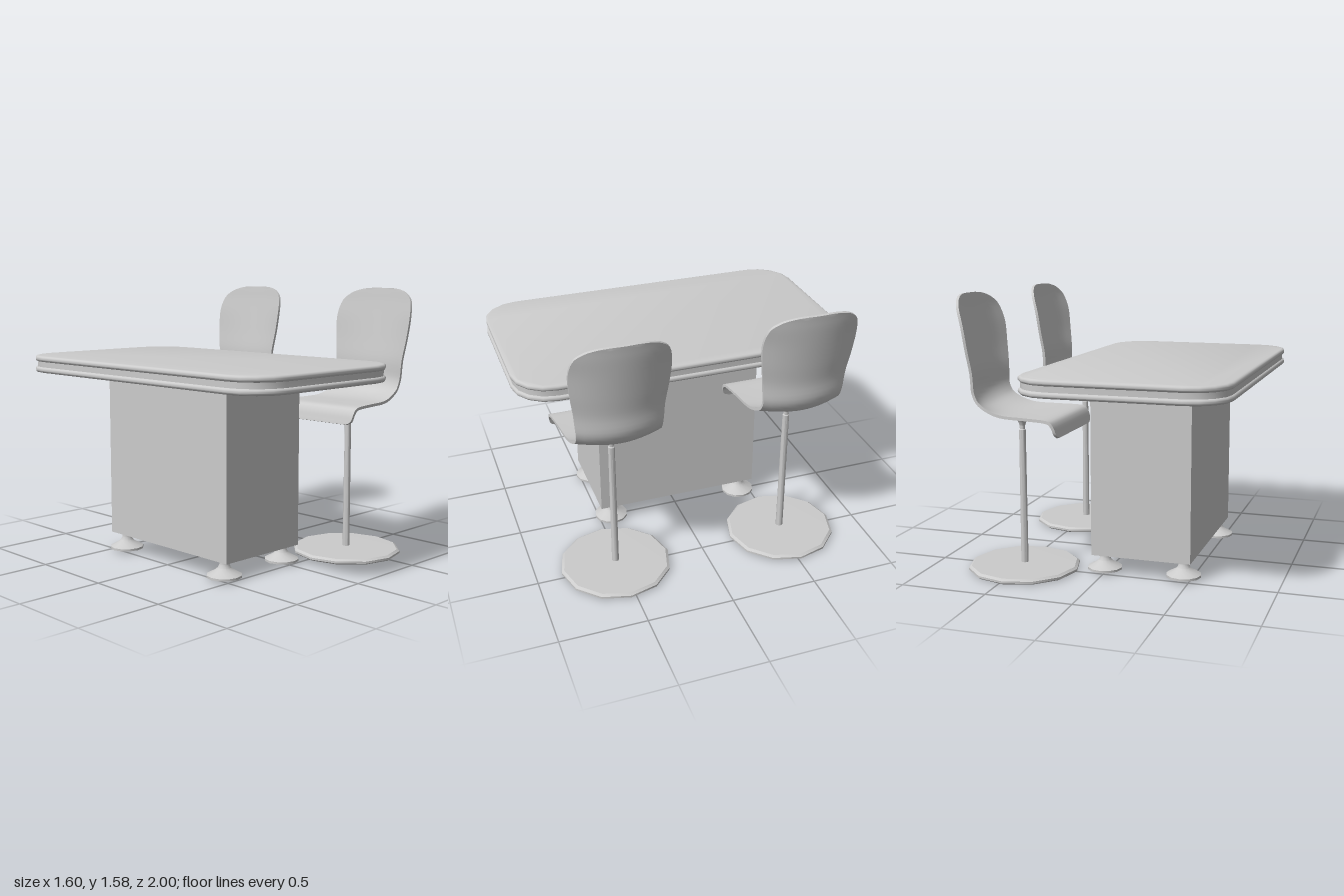
import * as THREE from 'three';
import { toCreasedNormals } from 'three/addons/utils/BufferGeometryUtils.js';

const material = new THREE.MeshStandardMaterial({ color: 0xcccccc });

function part(name, geometry, x = 0, y = 0, z = 0) {
  const mesh = new THREE.Mesh(geometry, material);
  mesh.name = name;
  mesh.position.set(x, y, z);
  return mesh;
}

// Turned part from [radius, height] pairs, bottom to top
function turned(points, sides) {
  const profile = points.map(([r, y]) => new THREE.Vector2(r, y));
  return toCreasedNormals(new THREE.LatheGeometry(profile, sides).toNonIndexed(), 0.6);
}

// Horizontal rounded slab with a soft edge, standing on y = 0
function slab(width, length, height, radius, bevel, bevelHeight) {
  const a = width / 2 - bevel, b = length / 2 - bevel, r = radius - bevel;
  const s = new THREE.Shape();
  s.absarc(a - r, b - r, r, 0, Math.PI / 2);
  s.absarc(-a + r, b - r, r, Math.PI / 2, Math.PI);
  s.absarc(-a + r, -b + r, r, Math.PI, Math.PI * 1.5);
  s.absarc(a - r, -b + r, r, Math.PI * 1.5, Math.PI * 2);
  s.closePath();
  const g = new THREE.ExtrudeGeometry(s, {
    depth: height - 2 * bevelHeight, curveSegments: 2, bevelEnabled: bevel > 0,
    bevelSize: bevel, bevelThickness: bevelHeight, bevelSegments: 4,
  });
  g.translate(0, 0, bevelHeight).rotateX(-Math.PI / 2);
  return toCreasedNormals(g, 0.7);
}

// Seat centre line from front lip to top of back: x, y, half width, edge curl
const STATIONS = [
  [0.165, 0.83, 0.235, 0], [0.17, 0.85, 0.268, 0], [0.185, 0.895, 0.278, 0],
  [0.22, 0.919, 0.277, 0], [0.35, 0.92, 0.262, 0.004], [0.5, 0.92, 0.25, 0.01],
  [0.605, 0.935, 0.24, 0.03], [0.68, 0.97, 0.236, 0.05], [0.722, 1.04, 0.237, 0.06],
  [0.727, 1.15, 0.245, 0.06], [0.745, 1.27, 0.262, 0.063], [0.765, 1.4, 0.272, 0.066],
  [0.78, 1.5, 0.252, 0.05], [0.786, 1.55, 0.2, 0.03], [0.789, 1.575, 0.13, 0.012],
  [0.79, 1.583, 0.06, 0.003],
];

// Bent shell swept through the stations with a closed, thin cross-section
function seatShell() {
  const curve = (pick) => new THREE.CatmullRomCurve3(
    STATIONS.map((s) => new THREE.Vector3(...pick(s))), false, 'catmullrom', 0.5);
  const line = curve((s) => [s[0], s[1], 0]);
  const size = curve((s) => [s[2], s[3], 0]);
  const rows = 60, n = 12, ring = 2 * (n + 1), half = 0.008;
  const pos = [], index = [];
  for (let i = 0; i <= rows; i++) {
    const t = i / rows;
    const p = line.getPoint(t), d = line.getTangent(t), w = size.getPoint(t);
    for (let k = 0; k < ring; k++) {
      const inner = k <= n;
      const u = inner ? 1 - (2 * k) / n : -1 + (2 * (k - n - 1)) / n;
      const lift = w.y * u * u + (inner ? half : -half);
      pos.push(p.x - d.y * lift, p.y + d.x * lift, w.x * u);
    }
  }
  for (let i = 0; i < rows; i++) {
    for (let k = 0; k < ring; k++) {
      const a = i * ring + k, d = i * ring + ((k + 1) % ring);
      index.push(a, a + ring, d + ring, a, d + ring, d);
    }
  }
  // End caps at the lip and at the top
  const e = rows * ring;
  for (let k = 0; k < n; k++) {
    const q = ring - 1 - k;
    index.push(k, k + 1, q - 1, k, q - 1, q);
    index.push(e + k, e + q - 1, e + k + 1, e + k, e + q, e + q - 1);
  }
  const g = new THREE.BufferGeometry();
  g.setAttribute('position', new THREE.Float32BufferAttribute(pos, 3));
  g.setIndex(index);
  return toCreasedNormals(g.toNonIndexed(), 0.8);
}

function createTable() {
  const table = new THREE.Group();
  table.name = 'table';
  const cx = -0.22;
  // Two soft-edged boards with a recessed band between them
  table.add(part('lowerTopBoard', slab(1.16, 2, 0.035, 0.22, 0.018, 0.016), cx, 1.08));
  table.add(part('topRecess', slab(1.136, 1.976, 0.036, 0.208, 0, 0), cx, 1.112));
  table.add(part('upperTopBoard', slab(1.16, 2, 0.035, 0.22, 0.018, 0.016), cx, 1.145));
  table.add(part('pedestal', new THREE.BoxGeometry(0.58, 0.975, 1), cx, 0.595, 0));
  const foot = turned([
    [0, 0.013], [0.1, 0.013], [0.1, 0.026], [0.055, 0.05], [0.037, 0.065],
    [0.028, 0.085], [0.028, 0.112], [0, 0.112],
  ], 12);
  for (const x of [-0.455, 0.012]) {
    for (const z of [-0.425, 0.425]) table.add(part('foot', foot, x, 0, z));
  }
  return table;
}

function createStool(z) {
  const stool = new THREE.Group();
  stool.name = 'stool';
  stool.position.z = z;
  const x = 0.475;
  stool.add(part('stoolBase', turned([
    [0, 0], [0.312, 0], [0.323, 0.008], [0.323, 0.02], [0.308, 0.031], [0, 0.035],
  ], 12), x));
  stool.add(part('stoolPole', turned([
    [0.021, 0.03], [0.019, 0.815], [0.015, 0.82], [0.015, 0.88],
  ], 12), x));
  stool.add(part('seatMount', turned([
    [0.016, 0.84], [0.021, 0.855], [0.03, 0.875], [0.045, 0.89], [0.064, 0.898],
    [0.064, 0.914], [0, 0.914],
  ], 16), x));
  stool.add(part('seat', seatShell()));
  return stool;
}

export function createModel() {
  const model = new THREE.Group();
  model.name = 'barTableWithStools';
  model.add(createTable());
  for (const z of [-0.514, 0.532]) model.add(createStool(z));
  return model;
}
